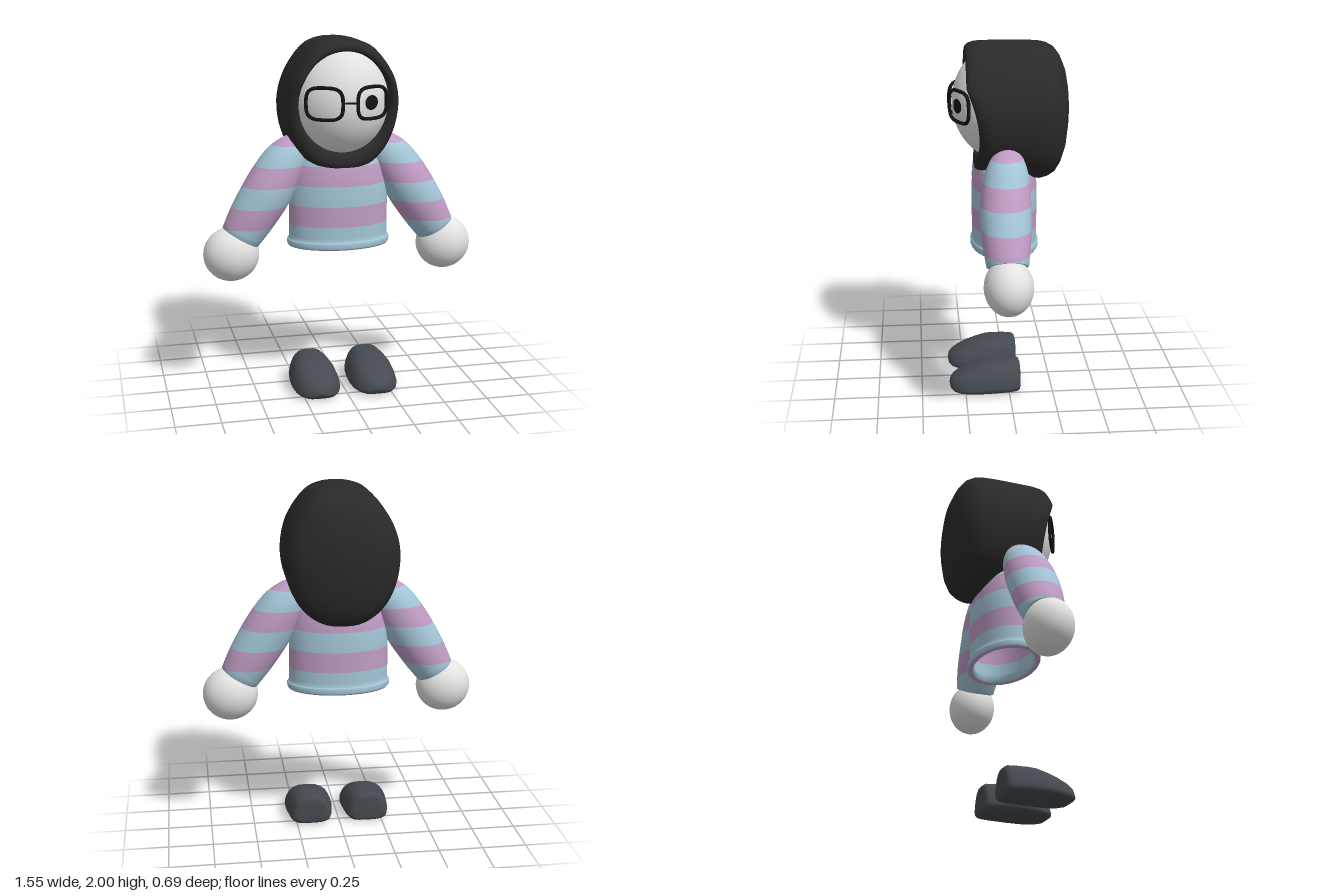
import * as THREE from 'three';

const mat = (name, color, side = THREE.FrontSide) => {
  const m = new THREE.MeshStandardMaterial({ color, side });
  m.name = name;
  return m;
};

// Skin a list of rings (equal counts); rings run right-handed about the advance.
function loft(rings, flip = false) {
  const n = rings[0].length, pos = [], idx = [];
  rings.forEach(r => r.forEach(p => pos.push(p.x, p.y, p.z)));
  for (let i = 0; i < rings.length - 1; i++) {
    for (let j = 0; j < n; j++) {
      const a = i * n + j, b = i * n + (j + 1) % n, c = a + n, d = b + n;
      if (flip) idx.push(a, c, b, b, c, d);
      else idx.push(a, b, c, b, d, c);
    }
  }
  const g = new THREE.BufferGeometry();
  g.setAttribute('position', new THREE.Float32BufferAttribute(pos, 3));
  g.setIndex(idx);
  g.computeVertexNormals();
  return g;
}

const ring = (n, f) => Array.from({ length: n }, (_, j) => f((j / n) * Math.PI * 2));

// Keep the part of a polygon above (sign 1) or below (sign -1) a height.
function clip(poly, level, sign) {
  const out = [];
  poly.forEach((p, i) => {
    const q = poly[(i + 1) % poly.length];
    const dp = (p[1] - level) * sign, dq = (q[1] - level) * sign;
    if (dp >= 0) out.push(p);
    if (dp * dq < 0) out.push(p.map((v, k) => v + (q[k] - v) * dp / (dp - dq)));
  });
  return out;
}

// Cut a geometry into horizontal stripes, alternating material groups 0 and 1.
const LEVELS = [-9, 0.838, 0.965, 1.08, 1.195, 1.305, 1.415, 9];
function stripe(geometry) {
  const g = geometry.toNonIndexed(), P = g.attributes.position, N = g.attributes.normal;
  const pos = [], nor = [], out = new THREE.BufferGeometry();
  for (let b = 0; b < LEVELS.length - 1; b++) {
    const start = pos.length / 3;
    for (let i = 0; i < P.count; i += 3) {
      const tri = [i, i + 1, i + 2].map(k =>
        [P.getX(k), P.getY(k), P.getZ(k), N.getX(k), N.getY(k), N.getZ(k)]);
      const poly = clip(clip(tri, LEVELS[b], 1), LEVELS[b + 1], -1);
      for (let k = 1; k < poly.length - 1; k++) {
        for (const v of [poly[0], poly[k], poly[k + 1]]) {
          pos.push(v[0], v[1], v[2]);
          nor.push(v[3], v[4], v[5]);
        }
      }
    }
    out.addGroup(start, pos.length / 3 - start, b % 2);
  }
  out.setAttribute('position', new THREE.Float32BufferAttribute(pos, 3));
  out.setAttribute('normal', new THREE.Float32BufferAttribute(nor, 3));
  return out;
}

// Sweater body with a rolled hem, open underneath; rows are [y, rx, rz].
function torsoGeometry() {
  const rows = [[0.865, 0.25, 0.155], [0.84, 0.255, 0.16], [0.832, 0.27, 0.175], [0.835, 0.285, 0.187],
    [0.845, 0.293, 0.192], [0.868, 0.295, 0.193], [0.876, 0.29, 0.189], [0.878, 0.283, 0.182],
    [0.9, 0.283, 0.182], [1.0, 0.283, 0.183], [1.1, 0.282, 0.184], [1.2, 0.273, 0.183],
    [1.3, 0.25, 0.168], [1.37, 0.21, 0.145], [1.42, 0.15, 0.1], [1.44, 0, 0]];
  return loft(rows.map(([y, rx, rz]) =>
    ring(48, a => new THREE.Vector3(Math.sin(a) * rx, y, 0.012 + Math.cos(a) * rz))));
}

// Sleeve: spline of (x, y, radius) from shoulder tip to closed cuff.
function sleeveGeometry(s) {
  const path = new THREE.CatmullRomCurve3([[0.2, 1.478, 0], [0.215, 1.45, 0.05], [0.25, 1.405, 0.088],
    [0.302, 1.335, 0.118], [0.36, 1.24, 0.134], [0.42, 1.14, 0.138], [0.498, 1.015, 0.13],
    [0.565, 0.905, 0.113]].map(p => new THREE.Vector3(...p)), false, 'catmullrom');
  const dir = new THREE.Vector3(0.51 * s, -0.86, 0).normalize();
  const e1 = new THREE.Vector3(0, 0, 1), e2 = dir.clone().cross(e1);
  const section = (t, k) => {
    const p = path.getPoint(t), r = Math.max(p.z, 0) * k;
    return ring(32, a => new THREE.Vector3(p.x * s, p.y, Math.min(0.035, 0.05 * t))
      .addScaledVector(e1, Math.cos(a) * r).addScaledVector(e2, Math.sin(a) * r));
  };
  const rings = Array.from({ length: 29 }, (_, i) => section(i / 28, 1));
  rings.push(section(1, 0.92), section(1, 0));
  return loft(rings);
}

// Shoe: rounded sections along z, rows are [z, half width, bottom, top].
function shoeGeometry() {
  const rows = [[-0.065, 0, 0.09, 0.09], [-0.065, 0.09, 0.03, 0.155], [-0.06, 0.108, 0.014, 0.17],
    [-0.045, 0.12, 0.007, 0.18], [0.0, 0.132, 0.005, 0.182], [0.06, 0.14, 0.005, 0.182],
    [0.11, 0.145, 0.005, 0.178], [0.17, 0.145, 0.005, 0.16], [0.23, 0.137, 0.005, 0.138],
    [0.28, 0.118, 0.007, 0.115], [0.315, 0.09, 0.012, 0.094], [0.335, 0.052, 0.025, 0.074],
    [0.342, 0, 0.05, 0.05]];
  const round = v => Math.sign(v) * Math.abs(v) ** 0.55;
  return loft(rows.map(([z, w, lo, hi]) => ring(32, a => {
    const v = round(Math.sin(a)), t = (v + 1) / 2;
    return new THREE.Vector3(round(Math.cos(a)) * w * (1 - 0.42 * t ** 2), lo + (hi - lo) * t, z);
  })));
}

// Hood: from inside the face opening, over the rolled rim, to the closed back.
function hoodGeometry() {
  const half = [[0.08, 1.993], [0.16, 1.96], [0.24, 1.868], [0.295, 1.76], [0.32, 1.64], [0.305, 1.51],
    [0.255, 1.4], [0.18, 1.325], [0.09, 1.283]];
  const pts = [[0, 1.275], ...half.slice().reverse(), [0, 2.0], ...half.map(([x, y]) => [-x, y])];
  const outline = new THREE.CatmullRomCurve3(pts.map(([x, y]) => new THREE.Vector3(x, y, 0)), true)
    .getPoints(64).slice(0, 64);
  const cy = 1.64;
  const rimZ = y => Math.min(0.228, 0.16 + (y - 1.48) ** 2 * (y > 1.48 ? 0.73 : 1.2));
  const rim = [[0, -0.1], [0, -0.025], [0.08, -0.006], [0.28, 0], [0.55, -0.004],
    [0.78, -0.02], [0.93, -0.05], [1, -0.09]];
  const back = [[0.03, 1, 1], [-0.05, 1, 1.03], [-0.12, 0.995, 1.09], [-0.18, 0.985, 1.12],
    [-0.22, 0.96, 1.12], [-0.26, 0.9, 1.12], [-0.29, 0.79, 1.12], [-0.318, 0.6, 1.12],
    [-0.335, 0.36, 1.1], [-0.342, 0.14, 1], [-0.343, 0, 1]];
  const rings = rim.map(([u, dz]) => outline.map(p => {
    const a = Math.atan2(p.y - cy, p.x);
    const q = new THREE.Vector3(0.252 * Math.cos(a), 1.663 + 0.277 * Math.sin(a), 0).lerp(p, u);
    q.z = rimZ(q.y) + dz;
    return q;
  }));
  back.forEach(([z, s, drop]) => rings.push(outline.map(p =>
    new THREE.Vector3(p.x * s, cy + (p.y - cy) * s * (p.y < cy ? drop : 1), z))));
  return loft(rings, true);
}

export function createModel() {
  const model = new THREE.Group();
  model.name = 'hoodedFigure';
  const pink = mat('sweater pink', 0xc09cc4, THREE.DoubleSide);
  const blue = mat('sweater blue', 0xa3c5d6, THREE.DoubleSide);
  const white = mat('pale skin', 0xe2e2e0);
  const hair = mat('hood black', 0x2a2a2a);
  const shoe = mat('shoe grey', 0x444a50);
  const ink = mat('glasses black', 0x121414);
  const add = (name, geometry, material, x = 0, y = 0, z = 0) => {
    const m = new THREE.Mesh(geometry, material);
    m.name = name;
    m.position.set(x, y, z);
    model.add(m);
    return m;
  };

  add('torso', stripe(torsoGeometry()), [pink, blue]);
  add('hood', hoodGeometry(), hair);

  // Face: front cap of an ellipsoid
  const face = new THREE.SphereGeometry(1, 40, 20, 0, Math.PI * 2, 0, 1.17)
    .rotateX(Math.PI / 2).scale(0.29, 0.33, 0.3);
  add('face', face, white, 0, 1.665, 0);

  // Single pupil lying on the face surface
  const pupil = new THREE.CircleGeometry(0.04, 28);
  const P = pupil.attributes.position;
  for (let i = 0; i < P.count; i++) {
    const x = P.getX(i) + 0.125, y = P.getY(i) + 0.007;
    P.setZ(i, 0.3 * Math.sqrt(1 - (x / 0.29) ** 2 - (y / 0.33) ** 2) + 0.007);
  }
  pupil.computeVertexNormals();
  add('pupil', pupil, ink, 0.125, 1.672, 0);

  for (const s of [1, -1]) {
    const side = s > 0 ? 'left' : 'right';
    add(side + 'Sleeve', stripe(sleeveGeometry(s)), [pink, blue]);
    add(side + 'Hand', new THREE.SphereGeometry(1, 36, 24).scale(0.157, 0.153, 0.133),
      white, 0.618 * s, 0.808, 0.033);
    add(side + 'Shoe', shoeGeometry(), shoe, 0.167 * s, 0, 0);

    // Rounded-square spectacle rim, swept back to follow the face
    const soft = v => Math.sign(v) * Math.abs(v) ** 0.6;
    const rim = ring(32, a => {
      const x = 0.132 + 0.091 * soft(Math.cos(a));
      return new THREE.Vector3(x * s, 1.67 + 0.086 * soft(Math.sin(a)), 0.313 - 0.53 * (x - 0.041));
    });
    add(side + 'GlassesRim',
      new THREE.TubeGeometry(new THREE.CatmullRomCurve3(rim, true), 64, 0.01, 8, true), ink);
  }

  // Bridge between the rims
  const bridge = new THREE.CatmullRomCurve3([[-0.042, 1.675, 0.312], [0, 1.678, 0.318], [0.042, 1.675, 0.312]]
    .map(p => new THREE.Vector3(...p)));
  add('glassesBridge', new THREE.TubeGeometry(bridge, 12, 0.005, 8), ink);
  return model;
}
